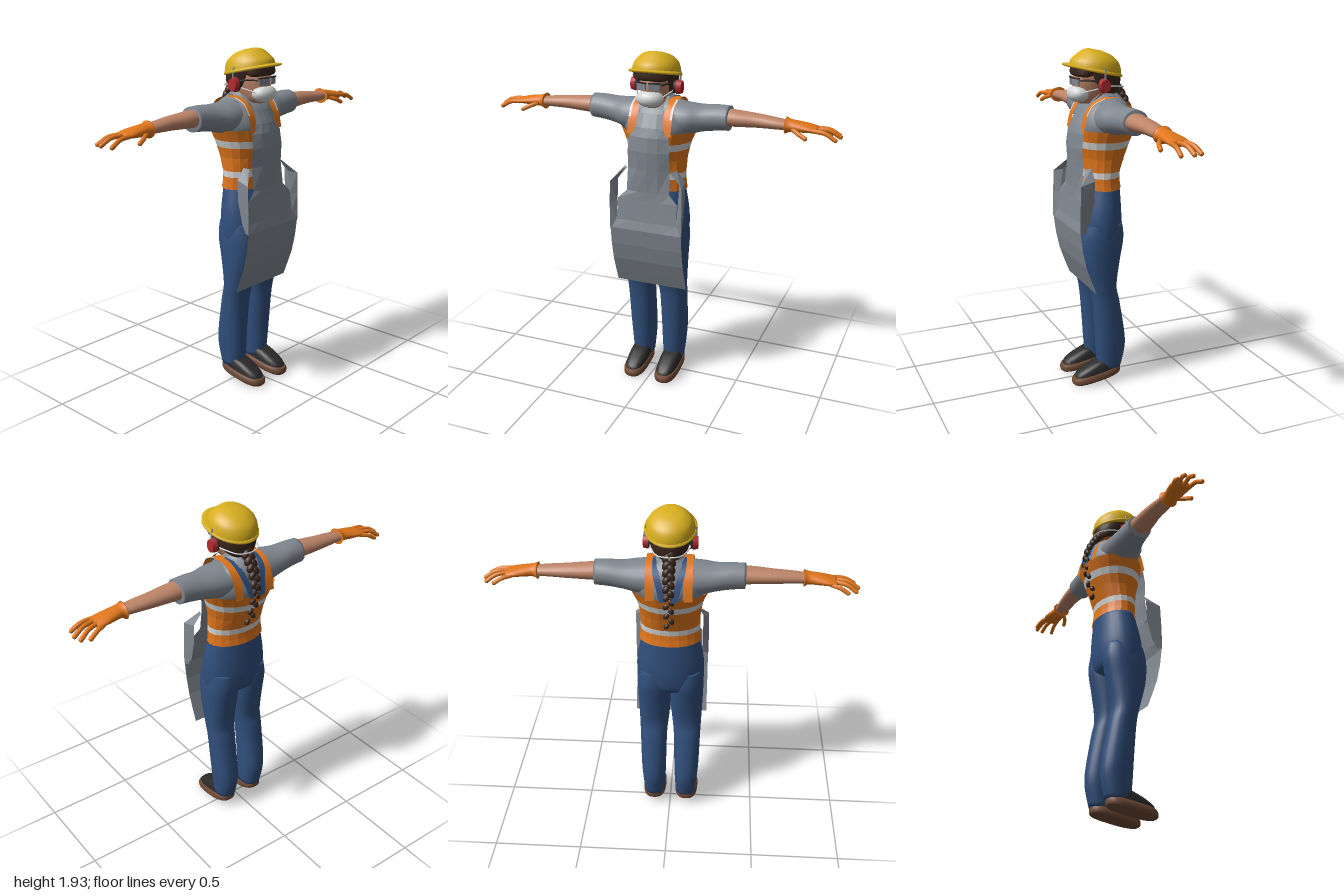
import * as THREE from 'three';

const V = (x, y, z) => new THREE.Vector3(x, y, z);
const paint = (name, color, side = THREE.FrontSide) => {
  const m = new THREE.MeshStandardMaterial({ color, side });
  m.name = name;
  return m;
};

// Indexed grid of points; wrap joins the last column to the first
function grid(rows, wrap = false, caps = false) {
  const n = rows[0].length, pos = rows.flat().flatMap(p => [p.x, p.y, p.z]), idx = [];
  const cols = wrap ? n : n - 1;
  for (let r = 0; r < rows.length - 1; r++) for (let c = 0; c < cols; c++) {
    const a = r * n + c, b = r * n + (c + 1) % n;
    idx.push(a, a + n, b, b, a + n, b + n);
  }
  if (caps) [0, rows.length - 1].forEach((r, end) => {
    const mid = rows[r].reduce((s, p) => s.add(p), V(0, 0, 0)).divideScalar(n), k = pos.length / 3;
    pos.push(mid.x, mid.y, mid.z);
    for (let c = 0; c < n; c++) {
      const a = r * n + c, b = r * n + (c + 1) % n;
      idx.push(k, ...(end ? [b, a] : [a, b]));
    }
  });
  const g = new THREE.BufferGeometry();
  g.setAttribute('position', new THREE.Float32BufferAttribute(pos, 3));
  g.setIndex(idx);
  g.computeVertexNormals();
  return g;
}

// Adds in-between sections along a smooth curve
function smooth(rows, sub = 4) {
  const out = [], at = i => rows[Math.max(0, Math.min(rows.length - 1, i))];
  for (let i = 0; i < rows.length - 1; i++) for (let s = 0; s < sub; s++) {
    const t = s / sub;
    out.push(rows[i].map((p1, k) => {
      const p0 = at(i - 1)[k], p2 = at(i + 1)[k], p3 = at(i + 2)[k];
      return p1 + 0.5 * t * (p2 - p0 + t * (2 * p0 - 5 * p1 + 4 * p2 - p3 + t * (3 * (p1 - p2) + p3 - p0)));
    }));
  }
  return [...out, rows[rows.length - 1]];
}

// Oval sections: axis y takes [y, x0, x1, z0, z1]; axis x takes [x, z0, z1, y0, y1]
function loft(rows, { axis = 'y', n = 24, power = 1, caps = true, sub = 4 } = {}) {
  const bend = v => Math.sign(v) * Math.abs(v) ** power;
  return grid(smooth(rows, sub).map(([t, a0, a1, b0, b1]) => Array.from({ length: n }, (_, i) => {
    const q = i / n * Math.PI * 2;
    const a = (a0 + a1) / 2 + (a1 - a0) / 2 * bend(Math.cos(q));
    const b = (b0 + b1) / 2 + (b1 - b0) / 2 * bend(Math.sin(q));
    return axis === 'y' ? V(a, t, b) : V(t, b, a);
  })), true, caps);
}
// Symmetric sections [y, halfWidth, zBack, zFront]
const body = (rows, opt) => loft(rows.map(([y, w, z0, z1]) => [y, -w, w, z0, z1]), opt);
const tube = (pts, r) => new THREE.TubeGeometry(new THREE.CatmullRomCurve3(pts.map(p => V(...p))), 12, r, 8);
const ribbon = (pts, w) => grid(new THREE.CatmullRomCurve3(pts.map(p => V(...p))).getPoints(16)
  .map(p => [V(p.x - w / 2, p.y, p.z), V(p.x + w / 2, p.y, p.z)]));
const ball = (x, y, z, rx, ry = rx, rz = rx) => new THREE.SphereGeometry(1, 18, 12).scale(rx, ry, rz).translate(x, y, z);
const slope = (g, k, lift = 0) => {
  g.applyMatrix4(new THREE.Matrix4().set(1, 0, 0, 0, 0, 1, k, lift, 0, 0, 1, 0, 0, 0, 0, 1));
  g.computeVertexNormals();
  return g;
};
function mirrored(g) {
  const m = g.clone().scale(-1, 1, 1), i = m.index.array;
  for (let k = 0; k < i.length; k += 3) [i[k], i[k + 1]] = [i[k + 1], i[k]];
  return m;
}

export function createModel() {
  const model = new THREE.Group(), D = THREE.DoubleSide;
  const yellow = paint('helmet yellow', 0xd8ae1e), orange = paint('safety orange', 0xe0761c, D);
  const grey = paint('cloth grey', 0x80878f, D), navy = paint('denim blue', 0x314f7c, D);
  const skin = paint('skin', 0xbd8468), brown = paint('hair brown', 0x3b271d);
  const black = paint('black', 0x2b2a2a), sole = paint('sole brown', 0x6e4a35);
  const white = paint('reflective white', 0xd3d4d5, D), red = paint('earmuff red', 0xb22a2f);

  const add = (name, g, mat, flat = false) => {
    if (flat) { g = g.toNonIndexed(); g.computeVertexNormals(); }
    const m = new THREE.Mesh(g, mat);
    m.name = name;
    model.add(m);
  };
  const pair = (name, g, mat, flat) => {
    add('left ' + name, g, mat, flat);
    add('right ' + name, mirrored(g), mat, flat);
  };

  // Trousers
  add('trouser hips', body([[.82, .1, -.06, .07], [.86, .18, -.105, .125], [.95, .192, -.122, .145],
    [1.05, .186, -.12, .13], [1.18, .16, -.112, .098]]), navy);
  pair('trouser leg', loft([[.085, .035, .155, -.1, .04], [.2, .028, .165, -.125, .05], [.3, .025, .172, -.12, .055],
    [.5, .02, .178, -.085, .07], [.6, .01, .182, -.066, .09], [.75, -.003, .188, -.088, .132],
    [.88, -.003, .19, -.11, .14], [.97, .01, .18, -.1, .12]], { power: .9 }), navy);

  // Shoes, sloping down to the toe
  const shoe = { power: .75, sub: 2 };
  pair('shoe sole', slope(loft([[0, .036, .16, -.088, .19], [.008, .03, .166, -.095, .198],
    [.03, .03, .166, -.095, .2], [.045, .038, .158, -.088, .192]], shoe), -.16, .032), sole);
  pair('shoe upper', slope(loft([[.035, .038, .158, -.088, .185], [.06, .04, .155, -.088, .178],
    [.085, .045, .15, -.085, .13], [.105, .055, .14, -.075, .06]], shoe), -.16, .032), black);

  // Shirt
  add('shirt', body([[1.4, .15, -.14, .1], [1.5, .2, -.18, .13], [1.57, .2, -.172, .115], [1.62, .17, -.16, .085],
    [1.65, .12, -.14, .05], [1.675, .07, -.115, .035], [1.69, .06, -.1, .035]]), grey);
  pair('sleeve', loft([[.1, -.15, .08, 1.46, 1.655], [.18, -.14, .075, 1.475, 1.648], [.25, -.13, .05, 1.495, 1.643],
    [.33, -.12, .035, 1.507, 1.648], [.4, -.115, .028, 1.513, 1.647]], { axis: 'x' }), grey);

  // Safety vest, in bands
  const vest = [[1.165, .172, -.118, .105], [1.2, .168, -.112, .104], [1.232, .166, -.11, .104], [1.266, .165, -.115, .105],
    [1.34, .167, -.142, .115], [1.397, .178, -.165, .13], [1.437, .19, -.18, .138], [1.5, .218, -.203, .145]];
  [[0, 2, orange], [2, 3, white], [3, 5, orange], [5, 6, white], [6, 7, orange]].forEach(([a, b, mat], i) =>
    add('vest band ' + (i + 1), body(vest.slice(a, b + 1), { caps: false, sub: 1, n: 20 }), mat, true));
  pair('vest strap', ribbon([[.1, 1.49, .135], [.1, 1.58, .112], [.1, 1.635, .075], [.1, 1.666, .01],
    [.1, 1.667, -.07], [.1, 1.635, -.135], [.1, 1.57, -.17], [.1, 1.49, -.188]], .05), orange);
  pair('vest strap stripe', ribbon([[.118, 1.58, .114], [.118, 1.635, .079], [.118, 1.669, .01]], .012), white);
  pair('apron back strap', ribbon([[.07, 1.672, -.03], [.072, 1.668, -.09], [.068, 1.63, -.15],
    [.05, 1.57, -.182], [.03, 1.49, -.205]], .035), navy);

  // Apron: bib and skirt rows are [y, halfWidth, zMiddle, zEdge]
  const apron = [[1.6, .075, .105, .09], [1.53, .085, .142, .125], [1.48, .115, .16, .132], [1.4, .12, .168, .142],
    [1.3, .122, .165, .135], [1.17, .125, .162, .15], [1.12, .175, .165, .16], [1, .178, .178, .175],
    [.95, .21, .19, .19], [.85, .21, .177, .177], [.75, .21, .155, .155], [.66, .21, .122, .122], [.59, .21, .095, .095]];
  add('apron', grid(apron.map(([y, w, zm, ze]) =>
    [-1, -.5, 0, .5, 1].map(f => V(f * w, y, zm + (ze - zm) * f * f)))), grey, true);
  pair('apron side fold', grid([
    [[.122, 1.3, .14], [.14, 1.295, .13], [.15, 1.3, .1]],
    [[.18, 1.23, .14], [.21, 1.22, .186], [.2, 1.24, .1]],
    [[.178, 1.1, .16], [.212, 1.1, .19], [.2, 1.12, .105]],
    [[.178, 1, .175], [.212, 1, .192], [.2, 1, .135]],
    [[.2, .95, .188], [.212, .95, .192], [.205, .95, .165]]].map(r => r.map(p => V(...p)))), grey, true);
  pair('apron neck strap', ribbon([[.075, 1.59, .096], [.075, 1.64, .075], [.065, 1.685, .02]], .02), grey);

  // Arms and gloves
  pair('forearm', loft([[.36, -.1, .018, 1.535, 1.635], [.45, -.1, .018, 1.54, 1.628], [.55, -.095, .007, 1.545, 1.62],
    [.65, -.085, .007, 1.548, 1.61], [.73, -.075, 0, 1.55, 1.6]], { axis: 'x' }), skin);
  pair('glove palm', loft([[.705, -.092, .016, 1.53, 1.62], [.73, -.08, .008, 1.543, 1.61], [.78, -.09, .01, 1.545, 1.602],
    [.83, -.1, .012, 1.548, 1.592], [.875, -.097, .01, 1.55, 1.58]], { axis: 'x' }), orange);
  const fingers = {
    index: [[.85, 1.567, -.002], [.92, 1.56, .002], [.972, 1.532, .006]],
    middle: [[.85, 1.57, -.03], [.935, 1.565, -.046], [.988, 1.535, -.056]],
    ring: [[.85, 1.57, -.06], [.925, 1.563, -.082], [.975, 1.533, -.098]],
    little: [[.84, 1.563, -.085], [.89, 1.555, -.105], [.932, 1.532, -.116]],
    thumb: [[.745, 1.565, -.005], [.785, 1.55, .022], [.822, 1.532, .033]]
  };
  for (const [name, pts] of Object.entries(fingers)) {
    pair(name + ' finger', tube(pts, .012), orange);
    pair(name + ' fingertip', ball(...pts[2], .012), orange);
  }

  // Head, hair and braid
  add('neck', body([[1.6, .055, -.09, .03], [1.72, .05, -.08, .06]]), skin);
  add('face', body([[1.635, .035, .02, .115], [1.66, .057, -.03, .135], [1.7, .07, -.07, .142],
    [1.76, .08, -.09, .146], [1.84, .08, -.09, .13]]), skin);
  add('hair', body([[1.68, .05, -.1, -.03], [1.71, .086, -.12, .045], [1.76, .106, -.126, .08], [1.83, .11, -.122, .1]]), brown);
  add('fringe', body([[1.783, .085, .06, .136], [1.797, .1, .03, .151], [1.845, .1, 0, .15]]), brown);
  const braid = new THREE.CatmullRomCurve3([V(0, 1.72, -.11), V(0, 1.67, -.145), V(0, 1.61, -.175),
    V(0, 1.53, -.19), V(0, 1.44, -.178), V(0, 1.31, -.138)]);
  for (let i = 0; i < 18; i++) {
    const p = braid.getPoint(i / 17), r = .027 - .0006 * i;
    add('braid strand ' + (i + 1), ball(0, 0, 0, r * .8, r * 1.15, r * .8)
      .rotateZ(i % 2 ? .6 : -.6).translate(p.x + (i % 2 ? .013 : -.013), p.y, p.z), brown);
  }

  // Dust mask and safety glasses
  add('dust mask', ball(0, 1.688, .115, .077, .048, .06), white);
  pair('mask strap', tube([[.066, 1.695, .13], [.094, 1.715, .06], [.105, 1.73, -.03], [.06, 1.72, -.125], [0, 1.718, -.14]], .004), white);
  pair('glasses lens', new THREE.BoxGeometry(.058, .036, .008).rotateY(.3).translate(.037, 1.755, .144), grey);
  pair('glasses rim', new THREE.BoxGeometry(.064, .006, .012).rotateY(.3).translate(.037, 1.775, .145), black);
  pair('glasses temple', tube([[.067, 1.765, .135], [.088, 1.765, .08], [.105, 1.755, .02]], .005), black);

  // Earmuffs
  const disc = (r, h, x) => new THREE.CylinderGeometry(r * .85, r, h, 20).rotateZ(-Math.PI / 2)
    .scale(1, 1.15, .95).translate(x, 1.738, .012);
  pair('earmuff cushion', disc(.032, .02, .112), black);
  pair('earmuff cup', disc(.035, .028, .131), red);
  pair('earmuff arm', tube([[.135, 1.765, .012], [.134, 1.8, .012], [.126, 1.83, .012]], .006), grey);

  // Hard hat, tipped back
  add('helmet dome', slope(body([[1.802, .132, -.13, .16], [1.84, .126, -.128, .148], [1.875, .11, -.113, .113],
    [1.904, .074, -.072, .08], [1.916, .03, -.02, .05]]), .22), yellow);
  add('helmet brim', slope(body([[1.797, .134, -.13, .19], [1.8, .14, -.136, .2], [1.808, .14, -.136, .2],
    [1.816, .13, -.128, .17]], { sub: 1, n: 32 }), .22), yellow);

  return model;
}
